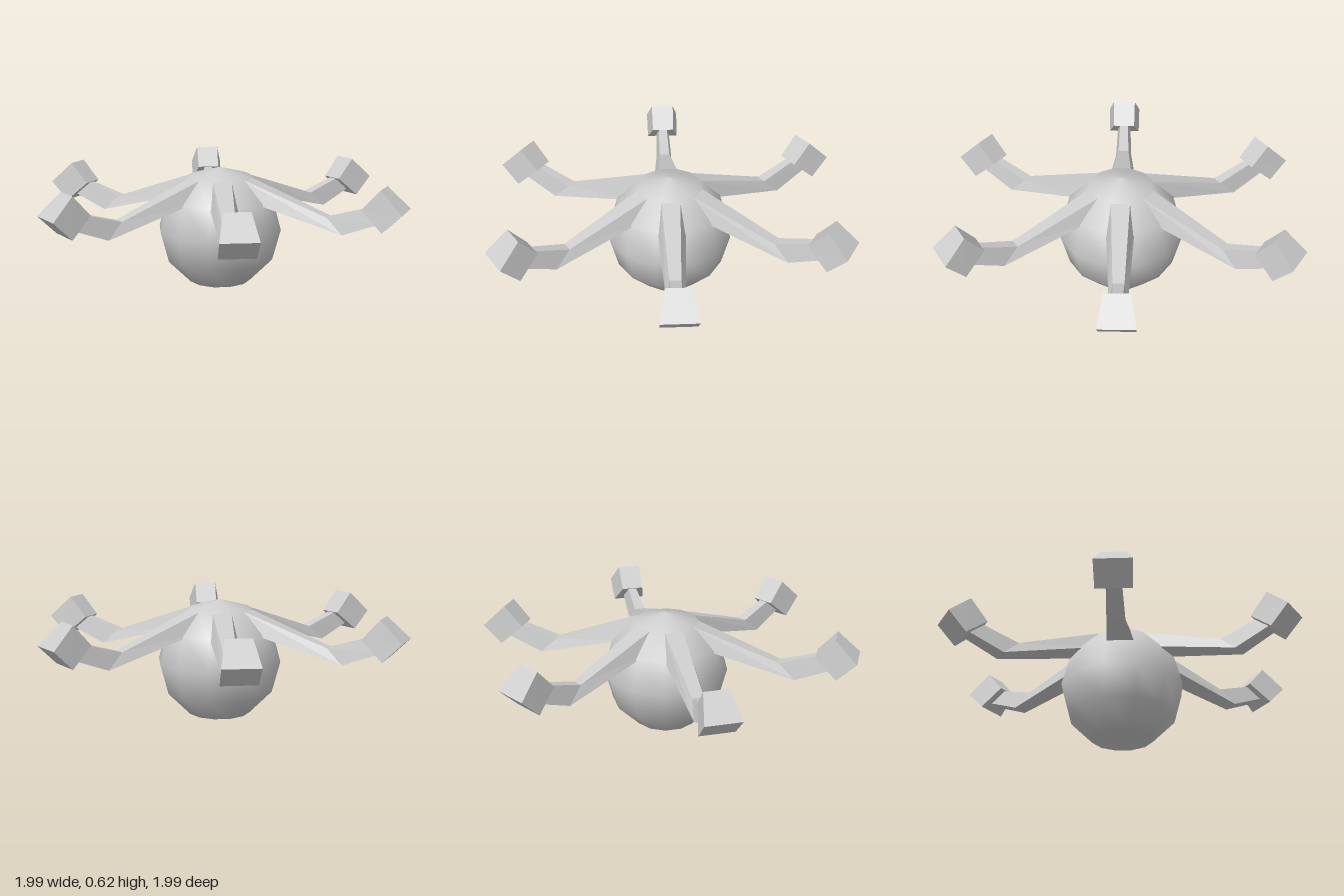
import * as THREE from 'three';

const grey = new THREE.MeshStandardMaterial({ color: 0xcccccc });
const faceted = new THREE.MeshStandardMaterial({ color: 0xcccccc, flatShading: true });

// Loft of trapezoid sections running along +x: [topX, topY, topWidth, bottomX, bottomY, bottomWidth]
function loft(sections) {
  const rings = sections.map(([tx, ty, tw, bx, by, bw]) => [
    [tx, ty, -tw / 2], [tx, ty, tw / 2], [bx, by, bw / 2], [bx, by, -bw / 2],
  ]);
  const pos = [];
  const quad = (a, b, c, d) => pos.push(...a, ...b, ...c, ...a, ...c, ...d);
  for (let s = 0; s < rings.length - 1; s++) {
    const a = rings[s], b = rings[s + 1];
    for (let i = 0; i < 4; i++) {
      const j = (i + 1) % 4;
      quad(a[i], a[j], b[j], b[i]);
    }
  }
  const first = rings[0], last = rings[rings.length - 1];
  quad(first[3], first[2], first[1], first[0]);
  quad(last[0], last[1], last[2], last[3]);
  const geo = new THREE.BufferGeometry();
  geo.setAttribute('position', new THREE.Float32BufferAttribute(pos, 3));
  geo.computeVertexNormals();
  return geo;
}

export function createModel() {
  const model = new THREE.Group();
  model.name = 'sixArmedBall';

  // Smooth twelve-sided ball with a flattened base
  const radius = 0.33, centre = radius * Math.cos(Math.PI / 6);
  const profile = [new THREE.Vector2(0, 0)];
  for (let i = 1; i <= 6; i++) {
    const a = (i * Math.PI) / 6;
    profile.push(new THREE.Vector2(i === 6 ? 0 : radius * Math.sin(a), centre - radius * Math.cos(a)));
  }
  const body = new THREE.Mesh(new THREE.LatheGeometry(profile, 12), grey);
  body.name = 'body';
  model.add(body);

  // Bent, tapering arm: root, elbow, wrist
  const armGeo = loft([
    [0.12, 0.58, 0.1, 0.2, 0.46, 0.15],
    [0.61, 0.407, 0.058, 0.695, 0.328, 0.09],
    [0.83, 0.475, 0.045, 0.89, 0.405, 0.075],
  ]);
  // Tilted block at the arm's end, narrower on its inner upper face
  const handGeo = loft([
    [0.795, 0.47, 0.12, 0.91, 0.37, 0.175],
    [0.89, 0.578, 0.125, 1.007, 0.468, 0.18],
  ]);

  for (let k = 0; k < 6; k++) {
    const limb = new THREE.Group();
    limb.name = `limb${k + 1}`;
    const arm = new THREE.Mesh(armGeo, faceted);
    arm.name = 'arm';
    const hand = new THREE.Mesh(handGeo, faceted);
    hand.name = 'endBlock';
    limb.add(arm, hand);
    limb.rotation.y = THREE.MathUtils.degToRad(15 - 60 * k);
    model.add(limb);
  }
  return model;
}
